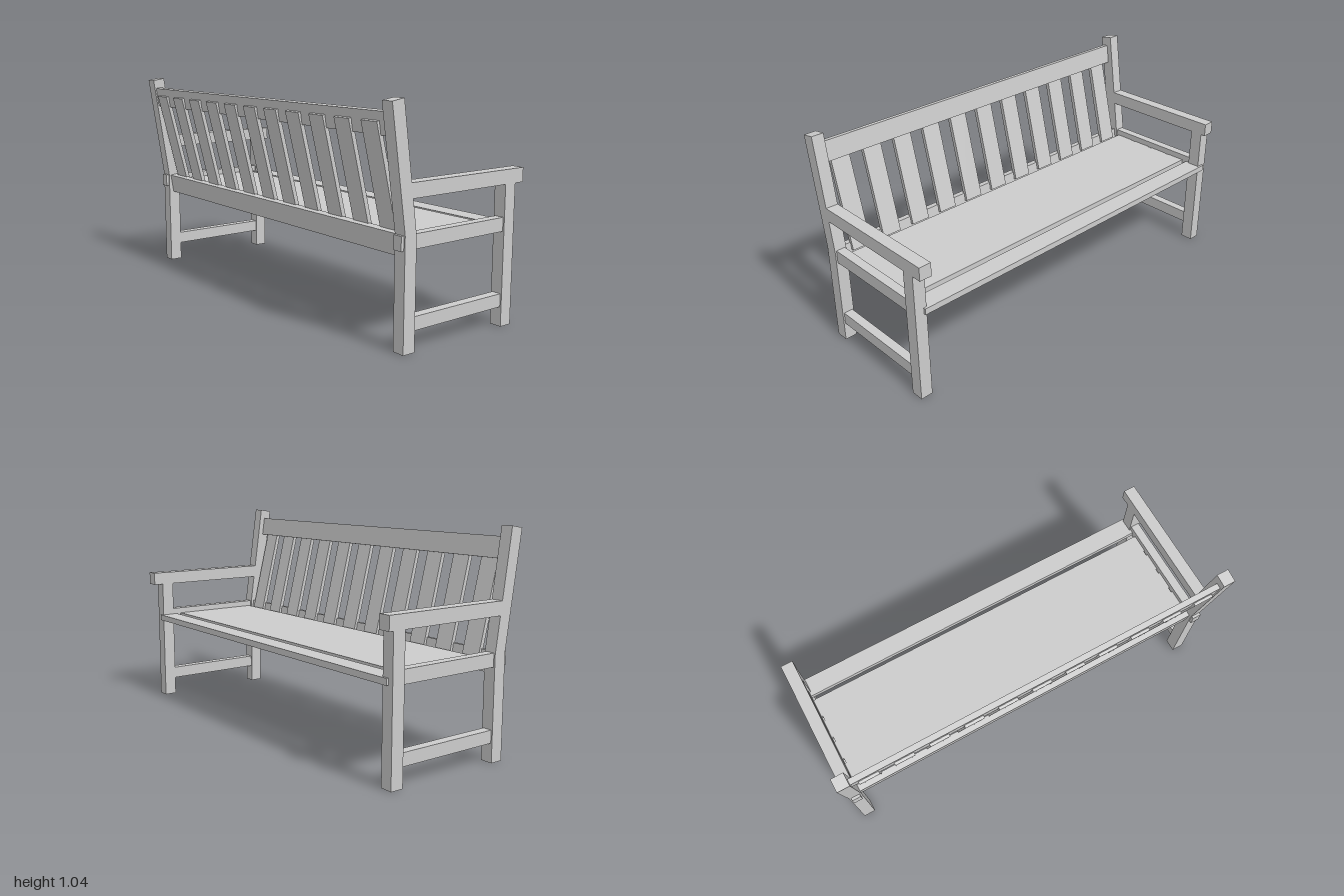
import * as THREE from 'three';

const material = new THREE.MeshStandardMaterial({ color: 0xcccccc, flatShading: true });

export function createModel() {
  const bench = new THREE.Group();
  bench.name = 'gardenBench';

  function add(name, geometry, parent = bench) {
    const mesh = new THREE.Mesh(geometry, material);
    mesh.name = name;
    parent.add(mesh);
    return mesh;
  }

  // Box given by its limits on each axis
  function bar(name, [x0, x1], [y0, y1], [z0, z1], parent) {
    const mesh = add(name, new THREE.BoxGeometry(x1 - x0, y1 - y0, z1 - z0), parent);
    mesh.position.set((x0 + x1) / 2, (y0 + y1) / 2, (z0 + z1) / 2);
    return mesh;
  }

  // Board leaning back between two points in the x-y plane
  function leaningBoard(name, bottom, top, thickness, width, z, parent) {
    const dx = top[0] - bottom[0], dy = top[1] - bottom[1];
    const mesh = add(name, new THREE.BoxGeometry(thickness, Math.hypot(dx, dy), width), parent);
    mesh.position.set((bottom[0] + top[0]) / 2, (bottom[1] + top[1]) / 2, z);
    mesh.rotation.z = Math.atan2(-dx, dy);
    return mesh;
  }

  // Rear leg bends into the leaning back post
  const postOutline = new THREE.Shape([
    [-0.313, 0], [-0.25, 0], [-0.25, 0.487], [-0.33, 1.04], [-0.393, 1.03], [-0.313, 0.495],
  ].map(([x, y]) => new THREE.Vector2(x, y)));

  // End frames; the two armrests differ slightly in height and length
  for (const side of [-1, 1]) {
    const frame = new THREE.Group();
    frame.name = side > 0 ? 'endFrameFront' : 'endFrameBack';
    bench.add(frame);
    const armY = side > 0 ? 0.641 : 0.656;
    const armEnd = side > 0 ? 0.39 : 0.363;
    const span = (w) => [side * 0.97 - w / 2, side * 0.97 + w / 2];

    const post = add('rearLegAndPost',
      new THREE.ExtrudeGeometry(postOutline, { depth: 0.06, bevelEnabled: false }), frame);
    post.position.z = span(0.06)[0];
    bar('frontLeg', [0.277, 0.34], [0, armY], span(0.06), frame);
    bar('armrest', [-0.29, armEnd], [armY, armY + 0.065], span(0.06), frame);
    bar('seatRail', [-0.327, 0.285], [0.432, 0.495], span(0.045), frame);
    bar('lowerRail', [-0.26, 0.285], [0.09, 0.15], span(0.045), frame);
  }

  // Seat slats with a thin board closing the gaps behind the front slat
  const seat = new THREE.Group();
  seat.name = 'seat';
  bench.add(seat);
  for (let i = 0; i < 5; i++) {
    const x = 0.303 - i * 0.122;
    bar('seatSlat', [x - 0.048, x + 0.048], [0.435, 0.465], [-0.975, 0.955], seat);
  }
  bar('seatBoard', [-0.235, 0.23], [0.458, 0.467], [-0.94, 0.94], seat);

  // Backrest rails and eleven upright slats, the slats leaning further back
  const back = new THREE.Group();
  back.name = 'backrest';
  bench.add(back);
  leaningBoard('topRail', [-0.351, 0.892], [-0.365, 0.988], 0.028, 1.89, 0, back);
  leaningBoard('bottomRail', [-0.271, 0.4], [-0.285, 0.495], 0.035, 1.89, 0, back);
  for (let i = -5; i <= 5; i++) {
    leaningBoard('backSlat', [-0.257, 0.46], [-0.377, 0.947], 0.02, 0.097, i * 0.1715, back);
  }

  return bench;
}
